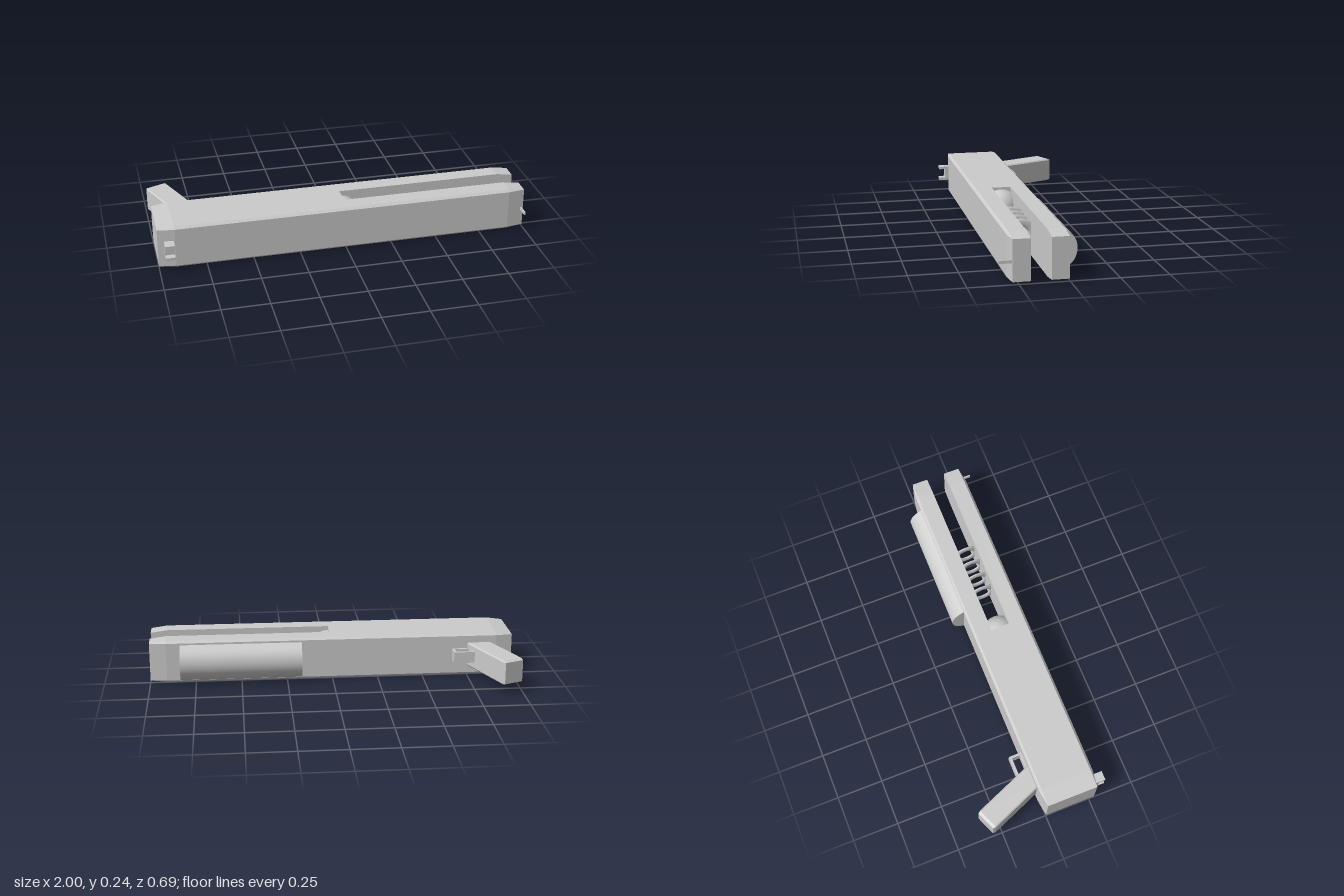
import * as THREE from 'three';
import { ConvexGeometry } from 'three/addons/geometries/ConvexGeometry.js';

const MID_Y = 0.1185, MID_Z = 0.1415; // centre of the long body
const HALF_Y = 0.1185, HALF_Z = 0.1515, SLOT = 0.0515;
const BEVEL = 0.0125, BEVEL_X = 0.09, SPLIT = 0.01;

const grey = new THREE.MeshStandardMaterial({ color: 0xcccccc });
const flat = new THREE.MeshStandardMaterial({ color: 0xcccccc, flatShading: true });

function add(parent, name, geometry, x = 0, y = 0, z = 0, material = flat) {
  const mesh = new THREE.Mesh(geometry, material);
  mesh.name = name;
  mesh.position.set(x, y, z);
  parent.add(mesh);
  return mesh;
}

// Box with every edge bevelled; the bevel may differ along each axis
function bevelBox(w, h, d, bx, by, bz) {
  const points = [];
  for (const i of [-1, 1]) for (const j of [-1, 1]) for (const k of [-1, 1]) {
    const x = w / 2, y = h / 2, z = d / 2;
    points.push(
      new THREE.Vector3(i * x, j * (y - by), k * (z - bz)),
      new THREE.Vector3(i * (x - bx), j * y, k * (z - bz)),
      new THREE.Vector3(i * (x - bx), j * (y - by), k * z));
  }
  return new ConvexGeometry(points);
}

// Solid rear half of the body: bevelled outer end, plain where the slot begins
function rearBody() {
  const points = [];
  for (const j of [-1, 1]) for (const k of [-1, 1]) {
    const y = j * (HALF_Y - BEVEL), z = k * (HALF_Z - BEVEL);
    points.push(new THREE.Vector3(-1, y, z));
    for (const x of [-1 + BEVEL_X, SPLIT]) {
      points.push(new THREE.Vector3(x, j * HALF_Y, z), new THREE.Vector3(x, y, k * HALF_Z));
    }
  }
  return new ConvexGeometry(points);
}

// One of the two rails beside the slot: square inside, bevelled outside
function rail(side) {
  const points = [];
  for (const j of [-1, 1]) {
    const y = j * (HALF_Y - BEVEL), z = side * (HALF_Z - BEVEL);
    points.push(new THREE.Vector3(1, y, z), new THREE.Vector3(1, y, side * SLOT));
    for (const x of [SPLIT, 1 - BEVEL_X]) {
      points.push(
        new THREE.Vector3(x, j * HALF_Y, z),
        new THREE.Vector3(x, y, side * HALF_Z),
        new THREE.Vector3(x, j * HALF_Y, side * SLOT));
    }
  }
  return new ConvexGeometry(points);
}

export function createModel() {
  const model = new THREE.Group();
  model.name = 'railBlaster';

  // Long slotted body
  add(model, 'rearBody', rearBody(), 0, MID_Y, MID_Z);
  add(model, 'frontRail', rail(1), 0, MID_Y, MID_Z);
  add(model, 'backRail', rail(-1), 0, MID_Y, MID_Z);

  // Ball at the root of the slot
  add(model, 'slotBall', new THREE.SphereGeometry(0.1, 32, 20), 0.013, 0.125, 0.143, grey);

  // Thin rings hung across the slot
  for (const x of [0.28, 0.363, 0.447, 0.533]) {
    const ring = new THREE.TorusGeometry(0.064, 0.021, 12, 40);
    ring.scale(1, 1, 0.35);
    ring.rotateY(Math.PI / 2);
    add(model, 'slotRing', ring, x, 0.111, 0.143, grey);
  }

  // Rounded fore-end, a sector of a cylinder sunk into the back rail
  const foreEnd = new THREE.CylinderGeometry(0.108, 0.108, 0.665, 40, 1, false, Math.PI / 2, Math.PI);
  foreEnd.rotateZ(Math.PI / 2);
  add(model, 'foreEnd', foreEnd, 0.5025, 0.114, 0.03, grey);

  // Slanted grip
  const grip = add(model, 'grip', bevelBox(0.122, 0.134, 0.4, 0.006, 0.007, 0.016), -0.869, 0.119, -0.138);
  grip.rotation.y = 0.39;

  // Trigger guard: a small rectangular loop
  const loop = new THREE.Shape();
  loop.moveTo(-0.78, 0).lineTo(-0.665, 0).lineTo(-0.665, 0.08).lineTo(-0.78, 0.08).closePath();
  const hole = new THREE.Path();
  hole.moveTo(-0.768, 0.022).lineTo(-0.768, 0.067).lineTo(-0.678, 0.067).lineTo(-0.678, 0.022).closePath();
  loop.holes.push(hole);
  const guard = new THREE.ExtrudeGeometry(loop, { depth: 0.062, bevelEnabled: false });
  guard.rotateX(-Math.PI / 2);
  add(model, 'triggerGuard', guard, 0, 0.092, 0);

  // Notched rear sight and front sight post
  const rearSight = new THREE.Group();
  rearSight.name = 'rearSight';
  model.add(rearSight);
  add(rearSight, 'sightBase', new THREE.BoxGeometry(0.05, 0.083, 0.04), -0.942, 0.1185, 0.292);
  for (const y of [0.0845, 0.1525]) {
    add(rearSight, 'sightEar', new THREE.BoxGeometry(0.05, 0.015, 0.04), -0.942, y, 0.327);
  }
  add(model, 'frontSight', new THREE.BoxGeometry(0.008, 0.016, 0.077), 0.987, 0.112, 0.3085);

  return model;
}
